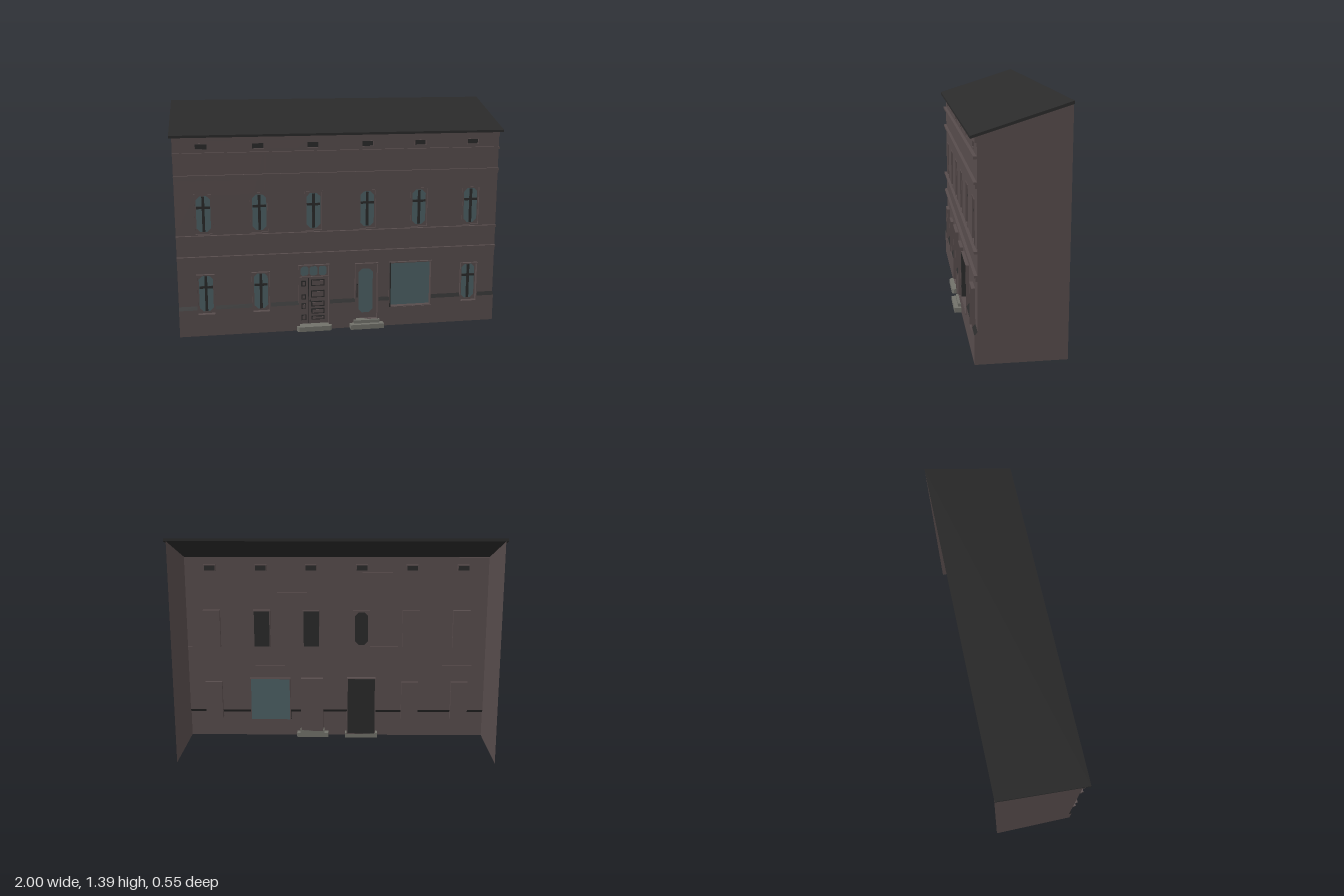
import * as THREE from 'three';

const mat = (name, color, side = THREE.DoubleSide) => {
  const m = new THREE.MeshStandardMaterial({ color, side });
  m.name = name;
  return m;
};

export function createModel() {
  const root = new THREE.Group();
  root.name = 'townHouse';
  const wall = mat('brown render', 0x574c4c);
  const dark = mat('dark slate', 0x2a2a2a);
  const glass = mat('window glass', 0x4c6064);
  const stone = mat('step stone', 0x71716a);

  const add = (name, geo, m, parent = root) => {
    const mesh = new THREE.Mesh(geo, m);
    mesh.name = name;
    parent.add(mesh);
    return mesh;
  };
  // box given by its limits
  const box = (name, x0, x1, y0, y1, z0, z1, m, parent) =>
    add(name, new THREE.BoxGeometry(x1 - x0, y1 - y0, z1 - z0)
      .translate((x0 + x1) / 2, (y0 + y1) / 2, (z0 + z1) / 2), m, parent);
  // rectangle with cut corners; c = 0 gives a plain one
  const outline = (x0, x1, y0, y1, c = 0) => [
    [x0 + c, y0], [x1 - c, y0], [x1, y0 + c], [x1, y1 - c],
    [x1 - c, y1], [x0 + c, y1], [x0, y1 - c], [x0, y0 + c],
  ].filter((p, i) => c > 0 || i % 2 === 0).map(p => new THREE.Vector2(...p));
  const rect = (r, c) => new THREE.Shape(outline(...r, c));
  const flat = (name, r, c, z, m, parent, hole, hc) => {
    const s = rect(r, c);
    if (hole) s.holes.push(new THREE.Path(outline(...hole, hc)));
    return add(name, new THREE.ShapeGeometry(s).translate(0, 0, z), m, parent);
  };
  // picture frame that also lines the opening
  const frame = (name, [x0, x1, y0, y1], t, z0, z1, m, parent) => {
    const s = rect([x0 - t, x1 + t, y0 - t, y1 + t], 0);
    s.holes.push(new THREE.Path(outline(x0, x1, y0, y1)));
    add(name, new THREE.ExtrudeGeometry(s, { depth: z1 - z0, bevelEnabled: false })
      .translate(0, 0, z0), m, parent);
  };

  const openings = [];
  const columns = [-0.82, -0.49, -0.165, 0.165, 0.49, 0.82];

  // casement window with rounded glazing and a cross bar
  const windowAt = (x, y0, y1, barY, front, backMat) => {
    const g = new THREE.Group();
    g.name = 'window';
    root.add(g);
    const r = [x - 0.05, x + 0.05, y0 + 0.006, y1 - 0.006];
    const pane = [x - 0.042, x + 0.042, y0 + 0.018, y1 - 0.013];
    openings.push(r);
    frame('windowSurround', r, 0.006, 0.19, front, wall, g);
    flat('sash', r, 0, 0.205, wall, g, pane, 0.022);
    flat('pane', r, 0, 0.2, glass, g);
    box('mullion', x - 0.008, x + 0.008, y0 + 0.02, y1 - 0.016, 0.203, 0.211, dark, g);
    box('transom', x - 0.04, x + 0.04, barY - 0.007, barY + 0.007, 0.203, 0.21, dark, g);
    box('windowBack', r[0], r[1], r[2], r[3], 0.19, 0.194, backMat, g);
    return pane;
  };
  columns.forEach((x, i) => {
    const pane = windowAt(x, 0.625, 0.872, 0.79, 0.218, i === 3 || i === 4 ? dark : wall);
    if (i === 2) flat('paneBack', pane, 0.022, 0.189, dark);
    // attic vent
    const v = [x - 0.034, x + 0.034, 1.135, 1.166];
    openings.push(v);
    frame('ventSurround', v, 0.004, 0.19, 0.217, wall);
    box('vent', ...v, 0.19, 0.2, dark);
  });
  [-0.82, -0.49, 0.82].forEach(x => windowAt(x, 0.13, 0.385, 0.3, 0.234, wall));

  // panelled entrance door with a glazed transom
  const d1 = [-0.256, -0.076, 0.03, 0.41];
  openings.push([d1[0], d1[1], 0, d1[3]]);
  frame('doorSurround', d1, 0.006, 0.18, 0.234, wall);
  box('entranceDoor', ...d1, 0.184, 0.2, wall);
  box('entranceDoorBack', ...d1, 0.178, 0.184, dark);
  box('leafJoint', -0.2, -0.196, 0.035, 0.335, 0.2, 0.203, dark);
  box('doorTransom', d1[0], d1[1], 0.328, 0.336, 0.2, 0.212, wall);
  const panel = (x0, x1, y0, y1) => {
    box('panelMoulding', x0, x1, y0, y1, 0.2, 0.205, dark);
    box('panel', x0 + 0.006, x1 - 0.006, y0 + 0.006, y1 - 0.006, 0.2, 0.208, wall);
  };
  [[0.055, 0.09], [0.13, 0.165], [0.19, 0.222], [0.275, 0.31]].forEach(([a, b]) => panel(-0.243, -0.214, a, b));
  [[0.055, 0.08], [0.095, 0.128], [0.142, 0.175], [0.2, 0.245], [0.275, 0.315]]
    .forEach(([a, b]) => panel(-0.182, -0.1, a, b));
  [-0.222, -0.166, -0.11].forEach(x => flat('transomPane', [x - 0.024, x + 0.024, 0.342, 0.4], 0.01, 0.203, glass));
  add('doorKnob', new THREE.SphereGeometry(0.007, 10, 8).translate(-0.19, 0.183, 0.21), dark);

  // glazed shop door
  const d2 = [0.095, 0.23, 0.05, 0.405];
  openings.push([d2[0], d2[1], 0, d2[3]]);
  frame('shopDoorSurround', d2, 0.006, 0.18, 0.234, wall);
  const light = [0.115, 0.205, 0.085, 0.37];
  flat('shopDoor', d2, 0, 0.205, wall, root, light, 0.022);
  flat('shopDoorGlass', d2, 0, 0.2, glass);
  box('shopDoorBack', ...d2, 0.18, 0.185, wall);
  box('doorHandle', 0.102, 0.108, 0.19, 0.275, 0.205, 0.216, dark);

  // display window
  const sw = [0.312, 0.57, 0.124, 0.405];
  openings.push(sw);
  frame('displayFrame', sw, 0.006, 0.19, 0.234, wall);
  box('displayGlass', ...sw, 0.19, 0.2, glass);
  box('displaySide', 0.306, 0.314, 0.12, 0.41, 0.2, 0.2345, dark);
  box('displaySill', 0.304, 0.578, 0.114, 0.121, 0.2, 0.237, wall);

  // front wall: a grid of cells leaving the openings free, thicker at the plinth
  const W = 0.985;
  const sorted = a => [...new Set(a)].sort((p, q) => p - q);
  const xs = sorted([-W, W, ...openings.flatMap(o => [o[0], o[1]])]);
  const ys = sorted([0, 0.165, 0.185, 1.222, ...openings.flatMap(o => [o[2], o[3]])]);
  const depth = y => 0.215 + 0.017 * THREE.MathUtils.clamp((0.185 - y) / 0.02, 0, 1);
  const cells = { wall: [], band: [] };
  for (let j = 0; j < ys.length - 1; j++) {
    const [b, t] = [ys[j], ys[j + 1]];
    const list = b >= 0.165 && t <= 0.185 ? cells.band : cells.wall;
    for (let i = 0; i < xs.length - 1; i++) {
      const [l, r] = [xs[i], xs[i + 1]];
      const [cx, cy] = [(l + r) / 2, (b + t) / 2];
      if (openings.some(o => cx > o[0] && cx < o[1] && cy > o[2] && cy < o[3])) continue;
      const [p, q, u, v] = [[l, b, depth(b)], [r, b, depth(b)], [r, t, depth(t)], [l, t, depth(t)]];
      list.push(...p, ...q, ...u, ...p, ...u, ...v);
    }
  }
  const fromCells = list => {
    const g = new THREE.BufferGeometry();
    g.setAttribute('position', new THREE.Float32BufferAttribute(list, 3));
    g.computeVertexNormals();
    return g;
  };
  add('frontWall', fromCells(cells.wall), wall);
  add('plinthBand', fromCells(cells.band), dark);

  // side walls; the back stays open
  const side = new THREE.Shape([[-0.27, 0], [0.232, 0], [0.232, 0.165], [0.215, 0.185], [0.215, 1.225], [-0.27, 1.375]]
    .map(p => new THREE.Vector2(...p)));
  [-W, W].forEach(x => add('sideWall', new THREE.ShapeGeometry(side).rotateY(-Math.PI / 2).translate(x, 0, 0), wall));

  // cornices: bottom, top, front
  [[1.185, 1.215, 0.225], [1.103, 1.117, 0.233], [0.973, 0.985, 0.233], [0.953, 0.973, 0.225],
    [0.61, 0.624, 0.233], [0.483, 0.495, 0.233], [0.463, 0.483, 0.225]]
    .forEach(([b, t, z]) => box('cornice', -W, W, b, t, 0.213, z, wall));

  // lean-to roof
  const roof = new THREE.Shape([[0.25, 1.208], [0.25, 1.222], [-0.27, 1.386], [-0.27, 1.37]]
    .map(p => new THREE.Vector2(...p)));
  add('roof', new THREE.ExtrudeGeometry(roof, { depth: 2, bevelEnabled: false })
    .rotateY(-Math.PI / 2).translate(1, 0, 0), dark);

  // steps
  const step = new THREE.Shape([[-0.275, 0.18], [-0.06, 0.18], [-0.06, 0.25], [-0.072, 0.262], [-0.263, 0.262], [-0.275, 0.25]]
    .map(p => new THREE.Vector2(p[0], -p[1])));
  add('entranceStep', new THREE.ExtrudeGeometry(step, { depth: 0.03, bevelEnabled: false })
    .rotateX(-Math.PI / 2), stone);
  box('shopStepLower', 0.055, 0.265, 0, 0.03, 0.18, 0.275, stone);
  box('shopStepUpper', 0.08, 0.243, 0.03, 0.05, 0.18, 0.25, stone);
  return root;
}
